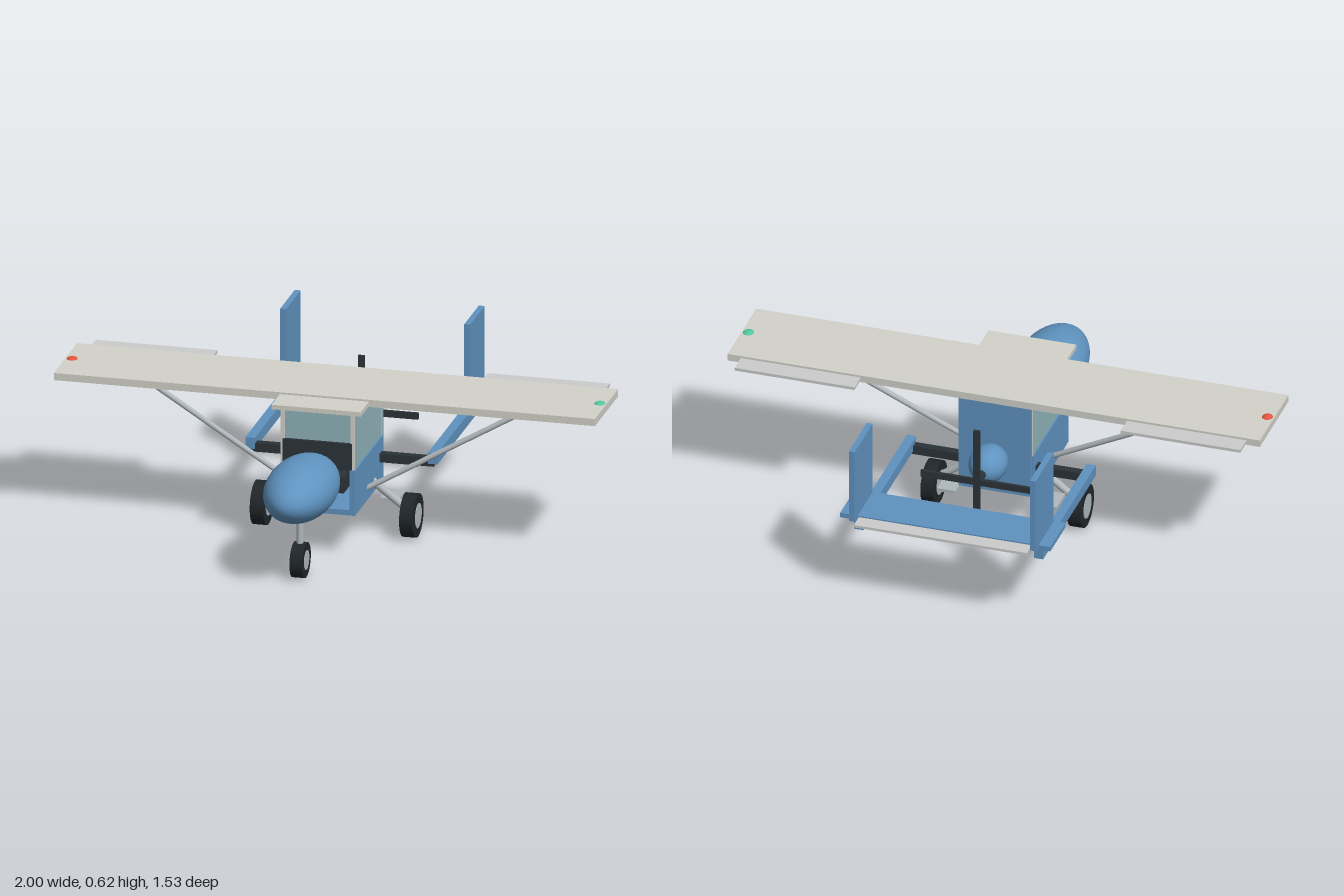
import * as THREE from 'three';

const mat = (color, extra = {}) => new THREE.MeshStandardMaterial({ color, ...extra });
const BLUE = mat(0x5f93c0);
const CREAM = mat(0xd2d2ca);
const GREY = mat(0xb0b8bc);
const DARK = mat(0x2b3338);
const TYRE = mat(0x20262a);
const GLASS = mat(0x8fb3b8);
const PANEL = mat(0xc2c6c6);
const RED = mat(0xe0553c);
const GREEN = mat(0x4cc9a0);

export function createModel() {
  const model = new THREE.Group();
  model.name = 'twinBoomPlane';

  const add = (name, geometry, material) => {
    const mesh = new THREE.Mesh(geometry, material);
    mesh.name = name;
    model.add(mesh);
    return mesh;
  };

  // box given by its extents on each axis
  const box = (name, [x0, x1], [y0, y1], [z0, z1], material) => {
    const mesh = add(name, new THREE.BoxGeometry(x1 - x0, y1 - y0, z1 - z0), material);
    mesh.position.set((x0 + x1) / 2, (y0 + y1) / 2, (z0 + z1) / 2);
    return mesh;
  };

  const ellipsoid = (name, center, radii, material) => {
    const mesh = add(name, new THREE.SphereGeometry(1, 40, 24).scale(...radii), material);
    mesh.position.set(...center);
    return mesh;
  };

  // round rod between two points
  const rod = (name, from, to, radius, material) => {
    const a = new THREE.Vector3(...from);
    const b = new THREE.Vector3(...to);
    const mesh = add(name, new THREE.CylinderGeometry(radius, radius, a.distanceTo(b), 16), material);
    mesh.position.copy(a).lerp(b, 0.5);
    mesh.quaternion.setFromUnitVectors(new THREE.Vector3(0, 1, 0), b.sub(a).normalize());
    return mesh;
  };

  // tyre with a slightly proud hub, axle along x
  const wheel = (name, x, z, radius, width, hubRadius) => {
    const tyre = rod(name + 'Tyre', [x - width / 2, radius, z], [x + width / 2, radius, z], radius, TYRE);
    tyre.geometry = new THREE.CylinderGeometry(radius, radius, width, 32);
    const hub = rod(name + 'Hub', [x, radius, z], [x + 0.01, radius, z], hubRadius, GREY);
    hub.geometry = new THREE.CylinderGeometry(hubRadius, hubRadius, width + 0.004, 28);
    hub.position.x = x;
  };

  // nose pod and rear engine
  ellipsoid('nosePod', [0, 0.328, 0.521], [0.128, 0.107, 0.245], BLUE);
  ellipsoid('engineCowl', [0, 0.328, -0.203], [0.07, 0.067, 0.085], BLUE);

  // open-fronted cabin shell
  box('cabinFloor', [-0.14, 0.14], [0.16, 0.18], [-0.112, 0.3], BLUE);
  box('rearWall', [-0.135, 0.135], [0.175, 0.54], [-0.13, -0.112], BLUE);
  box('instrumentPanel', [-0.128, 0.128], [0.33, 0.43], [0.265, 0.298], DARK);
  box('windshield', [-0.125, 0.125], [0.43, 0.54], [0.278, 0.288], GLASS);
  box('seatCushion', [-0.055, 0.055], [0.18, 0.24], [0, 0.13], DARK);
  box('seatBack', [-0.055, 0.055], [0.18, 0.4], [-0.03, 0], DARK);

  // wing with roof fairing
  box('wing', [-1, 1], [0.54, 0.567], [-0.14, 0.195], CREAM);
  box('roofFairing', [-0.165, 0.165], [0.543, 0.56], [0.18, 0.314], CREAM);

  // pusher propeller
  rod('propellerShaft', [0, 0.328, -0.27], [0, 0.328, -0.345], 0.017, DARK);
  box('propellerBladeHorizontal', [-0.21, 0.21], [0.316, 0.34], [-0.345, -0.333], DARK);
  box('propellerBladeVertical', [-0.012, 0.012], [0.117, 0.54], [-0.345, -0.333], DARK);

  // tail plane and boom carrier
  box('boomCrossbar', [-0.34, 0.34], [0.243, 0.276], [-0.086, -0.056], DARK);
  box('tailplane', [-0.395, 0.395], [0.318, 0.336], [-0.71, -0.533], BLUE);
  box('elevator', [-0.325, 0.325], [0.321, 0.331], [-0.768, -0.71], PANEL);

  // nose gear
  rod('noseGearLeg', [0, 0.26, 0.543], [0, 0.08, 0.543], 0.013, GREY);
  wheel('noseWheel', 0, 0.543, 0.065, 0.046, 0.036);

  // mirrored parts
  for (const s of [-1, 1]) {
    const side = s > 0 ? 'left' : 'right';
    const span = (a, b) => (s > 0 ? [a, b] : [-b, -a]);

    box(side + 'CabinWall', span(0.12, 0.14), [0.16, 0.33], [-0.112, 0.3], BLUE);
    box(side + 'Window', span(0.124, 0.134), [0.33, 0.535], [-0.104, 0.286], GLASS);
    box(side + 'FrontPillar', span(0.122, 0.136), [0.33, 0.54], [0.286, 0.295], CREAM);
    box(side + 'RearPillar', span(0.122, 0.136), [0.33, 0.54], [-0.112, -0.104], CREAM);

    box(side + 'Flap', span(0.5, 0.95), [0.548, 0.559], [-0.213, -0.14], PANEL);
    rod(side + 'WingStrut', [s * 0.745, 0.542, 0.03], [s * 0.13, 0.2, 0.117], 0.01, GREY);
    ellipsoid(side + 'NavigationLight', [s * 0.975, 0.565, 0.027], [0.02, 0.01, 0.022], s > 0 ? GREEN : RED);

    box(side + 'TailBoom', span(0.32, 0.355), [0.255, 0.297], [-0.67, -0.05], BLUE);
    box(side + 'Fin', span(0.329, 0.351), [0.33, 0.62], [-0.745, -0.535], BLUE);

    rod(side + 'GearLeg', [s * 0.13, 0.2, 0.018], [s * 0.275, 0.09, 0.018], 0.014, GREY);
    wheel(side + 'MainWheel', s * 0.276, 0.018, 0.08, 0.05, 0.046);
    box(side + 'Step', span(0.155, 0.225), [0.117, 0.129], [-0.105, 0], GREY);
  }

  return model;
}
